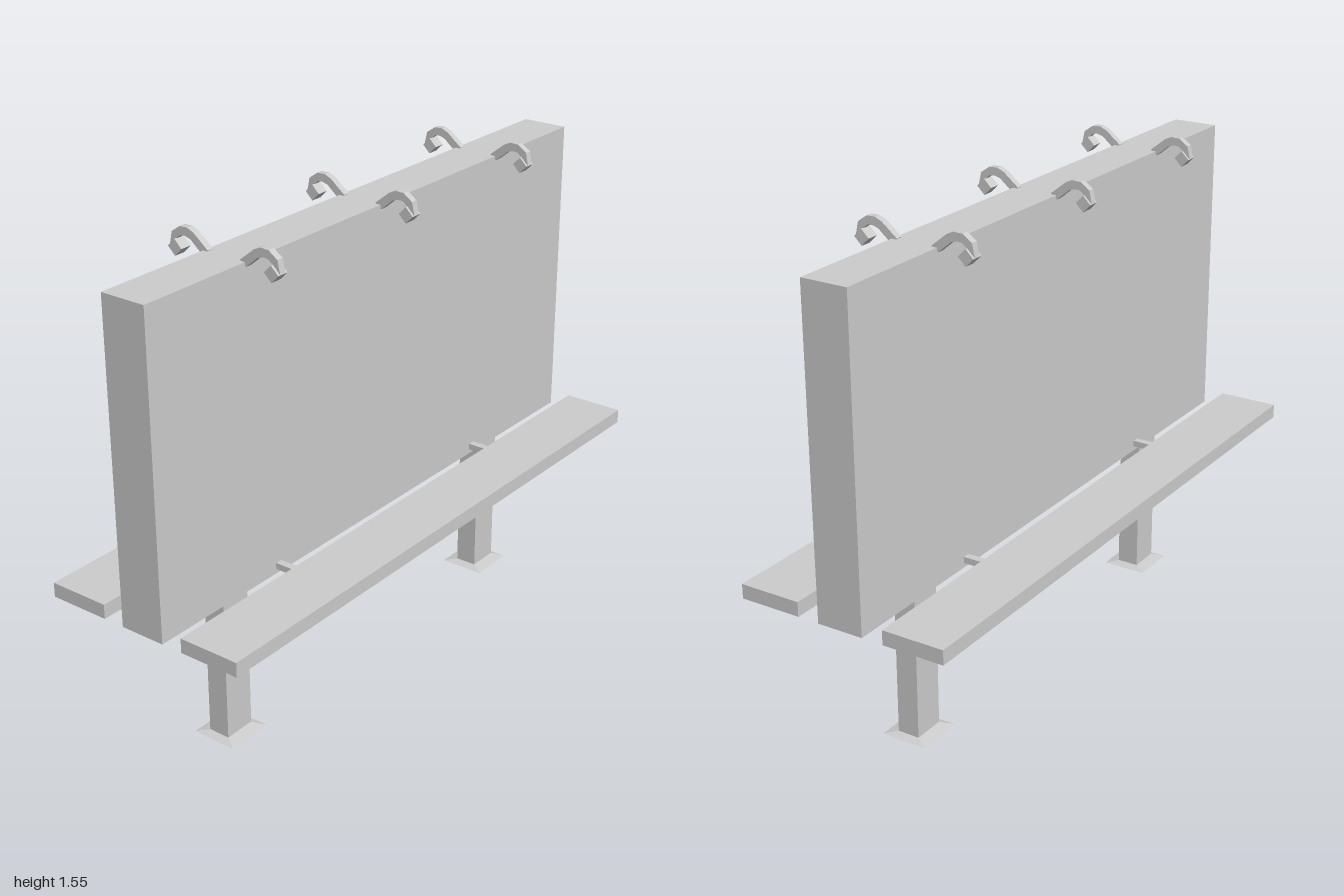
import * as THREE from 'three';

const material = new THREE.MeshStandardMaterial({ color: 0xcccccc, flatShading: true, side: THREE.DoubleSide });

function addMesh(parent, name, geometry, x = 0, y = 0, z = 0) {
  const mesh = new THREE.Mesh(geometry, material);
  mesh.name = name;
  mesh.position.set(x, y, z);
  parent.add(mesh);
  return mesh;
}

// Open four-sided tube or skirt, standing on its base; half sizes at top and bottom
function openSquare(top, bottom, height) {
  const g = new THREE.CylinderGeometry(top * Math.SQRT2, bottom * Math.SQRT2, height, 4, 1, true);
  return g.rotateY(Math.PI / 4).translate(0, height / 2, 0);
}

// Curved lamp arm: side outline as (z, y), extruded across x
function armGeometry(width) {
  const outline = [
    [0.057, 1.503], [0.107, 1.543], [0.13, 1.553], [0.158, 1.552], [0.188, 1.531], [0.197, 1.49],
    [0.172, 1.513], [0.157, 1.526], [0.141, 1.528], [0.12, 1.522], [0.078, 1.487],
  ].map(([z, y]) => new THREE.Vector2(z, y));
  const g = new THREE.ExtrudeGeometry(new THREE.Shape(outline), { depth: width, bevelEnabled: false });
  return g.translate(0, 0, -width / 2).rotateY(-Math.PI / 2);
}

export function createModel() {
  const model = new THREE.Group();
  model.name = 'billboardBench';

  addMesh(model, 'board', new THREE.BoxGeometry(2, 1, 0.15), 0, 1, 0);

  // Hollow legs with flared feet
  for (const x of [-0.652, 0.652]) {
    const leg = new THREE.Group();
    leg.name = 'leg';
    leg.position.x = x;
    model.add(leg);
    addMesh(leg, 'post', openSquare(0.5, 0.5, 0.49).scale(0.105, 1, 0.072), 0, 0.01, 0);
    const foot = openSquare(0.5, 0.5, 0.01);
    const p = foot.attributes.position;
    for (let i = 0; i < p.count; i++) {
      const upper = p.getY(i) > 0.005;
      p.setX(i, p.getX(i) * (upper ? 0.105 : 0.155));
      p.setZ(i, p.getZ(i) * (upper ? 0.072 : 0.15));
    }
    foot.computeVertexNormals();
    addMesh(leg, 'foot', foot);
  }

  // Seat, brackets and lamps, repeated on both faces of the board
  const arm = armGeometry(0.022);
  for (const [name, turn] of [['frontSide', 0], ['backSide', Math.PI]]) {
    const side = new THREE.Group();
    side.name = name;
    side.rotation.y = turn;
    model.add(side);
    addMesh(side, 'seat', new THREE.BoxGeometry(2, 0.046, 0.2), 0, 0.523, 0.245);
    for (const x of [-0.5, 0.5]) {
      addMesh(side, 'seatBracket', new THREE.BoxGeometry(0.024, 0.02, 0.08), x, 0.525, 0.11);
    }
    for (const x of [-0.6, 0, 0.6]) {
      addMesh(side, 'lampArm', arm, x);
      const head = addMesh(side, 'lampHead', new THREE.BoxGeometry(0.038, 0.035, 0.035), x, 1.49, 0.172);
      head.rotation.x = Math.PI / 4;
    }
  }
  return model;
}
